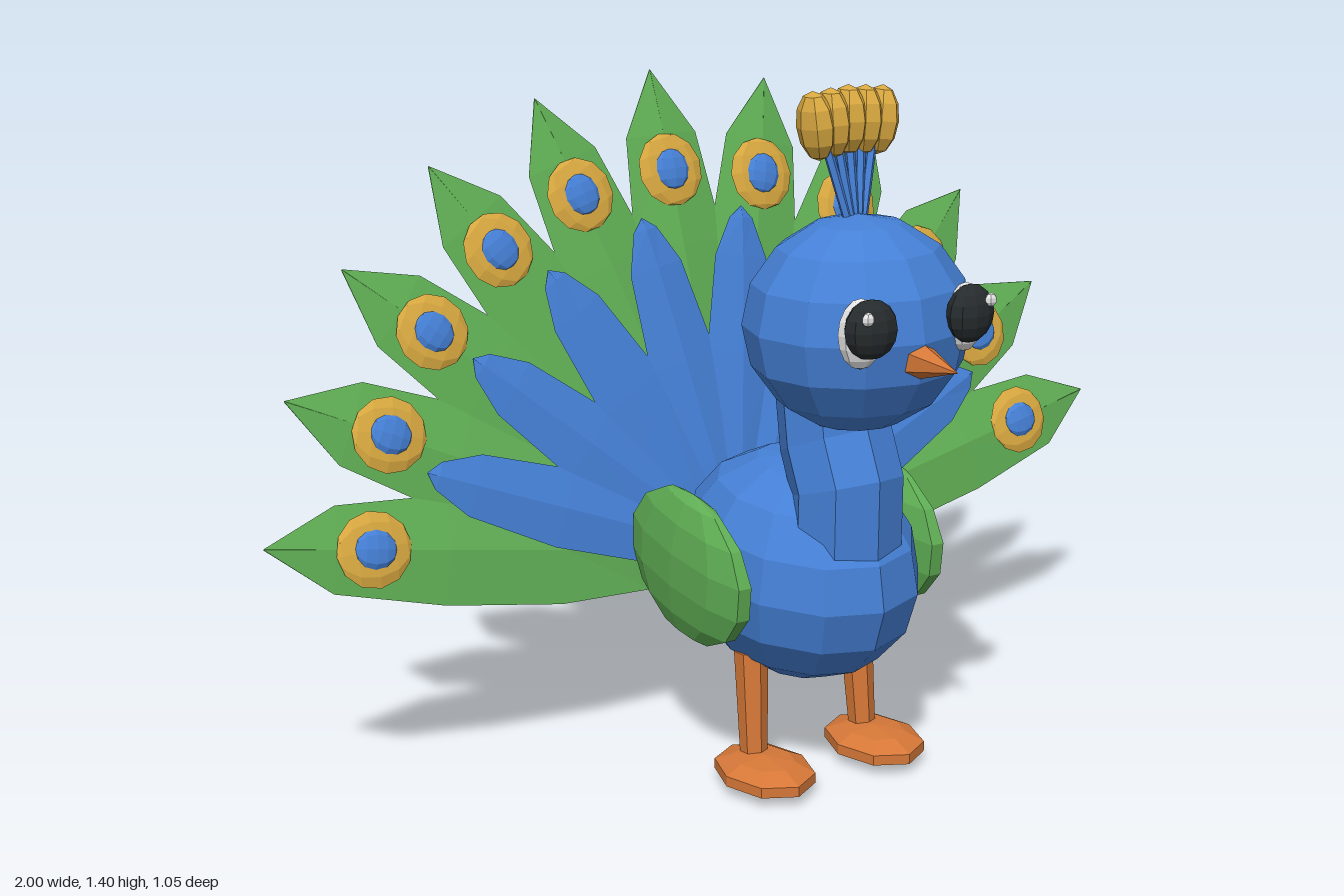
import * as THREE from 'three';

const mat = (name, color) => {
  const m = new THREE.MeshStandardMaterial({ color });
  m.name = name;
  return m;
};

export function createModel() {
  const model = new THREE.Group();
  model.name = 'bird';
  const blue = mat('blue', 0x4580d6);
  const green = mat('green', 0x5fad54);
  const gold = mat('gold', 0xd8a840);
  const orange = mat('orange', 0xd67838);
  const black = mat('black', 0x262b2d);
  const white = mat('white', 0xececec);

  // Flat faceted mesh
  function add(parent, name, geometry, material, pos = [0, 0, 0], rot = [0, 0, 0]) {
    const g = geometry.index ? geometry.toNonIndexed() : geometry;
    g.computeVertexNormals();
    const mesh = new THREE.Mesh(g, material);
    mesh.name = name;
    mesh.position.set(...pos);
    mesh.rotation.set(...rot);
    parent.add(mesh);
    return mesh;
  }
  const ellipsoid = (rx, ry, rz, w = 12, h = 8) => new THREE.SphereGeometry(1, w, h).scale(rx, ry, rz);

  // Tapered rod between two points
  function rod(parent, name, a, b, ra, rb, sides, material) {
    const from = new THREE.Vector3(...a), to = new THREE.Vector3(...b);
    const dir = to.clone().sub(from);
    const mesh = add(parent, name, new THREE.CylinderGeometry(rb, ra, dir.length(), sides), material);
    mesh.position.copy(from).add(to).multiplyScalar(0.5);
    mesh.quaternion.setFromUnitVectors(new THREE.Vector3(0, 1, 0), dir.normalize());
  }

  // Feather lofted along y from [length, half width, half thickness] stations
  function featherGeometry(stations) {
    const pos = [], idx = [];
    stations.forEach(([l, w, t]) => pos.push(w, l, 0, 0, l, -t, -w, l, 0, 0, l, t));
    for (let s = 0; s < stations.length - 1; s++) {
      for (let i = 0; i < 4; i++) {
        const a = s * 4 + i, b = s * 4 + (i + 1) % 4;
        idx.push(a, b, b + 4, a, b + 4, a + 4);
      }
    }
    const g = new THREE.BufferGeometry();
    g.setAttribute('position', new THREE.Float32BufferAttribute(pos, 3));
    g.setIndex(idx);
    return g;
  }

  // Body, neck and head
  add(model, 'body', ellipsoid(0.22, 0.23, 0.29), blue, [0, 0.43, 0.03], [0.08, 0, 0]);
  const neckPath = new THREE.CatmullRomCurve3([
    new THREE.Vector3(0, 0.45, 0.16), new THREE.Vector3(0, 0.6, 0.2),
    new THREE.Vector3(0, 0.75, 0.145), new THREE.Vector3(0, 0.9, 0.15),
  ]);
  add(model, 'neck', new THREE.TubeGeometry(neckPath, 5, 0.112, 8), blue);
  add(model, 'head', ellipsoid(0.222, 0.205, 0.208), blue, [0, 0.96, 0.225]);
  add(model, 'beak', new THREE.ConeGeometry(0.047, 0.15, 6), orange, [0, 0.927, 0.455], [Math.PI / 2, 0, 0]);

  // Paired parts
  for (const s of [1, -1]) {
    const side = s > 0 ? 'left' : 'right';
    add(model, side + 'EyeWhite', ellipsoid(0.043, 0.065, 0.03, 10, 8), white, [s * 0.118, 0.988, 0.397], [0, s * 0.3, 0]);
    add(model, side + 'Pupil', ellipsoid(0.053, 0.055, 0.035, 10, 8), black, [s * 0.112, 1.0, 0.42], [0, s * 0.15, 0]);
    add(model, side + 'EyeGlint', ellipsoid(0.013, 0.013, 0.01, 6, 5), white, [s * 0.138, 1.027, 0.447]);

    add(model, side + 'Wing', ellipsoid(0.047, 0.152, 0.212, 10, 7), green, [s * 0.23, 0.452, -0.012], [0.12, 0, 0]);
    rod(model, side + 'Leg', [s * 0.134, 0.04, 0.068], [s * 0.128, 0.27, 0.05], 0.027, 0.034, 6, orange);
    add(model, side + 'Foot', ellipsoid(0.095, 0.034, 0.127, 8, 5), orange, [s * 0.135, 0.034, 0.108]);
  }

  // Crest plumes
  for (let i = -2; i <= 2; i++) {
    rod(model, 'crestStalk', [i * 0.007, 1.14, 0.217], [i * 0.027, 1.3, 0.193], 0.009, 0.01, 5, blue);
    add(model, 'crestTip', ellipsoid(0.034, 0.065, 0.044, 7, 6), gold,
      [i * 0.036, 1.335 - Math.abs(i) * 0.003, 0.19], [0, 0, -i * 0.06]);
  }

  // Fan of evenly spread feathers
  function fan(name, pos, tilt, count, spread, build) {
    const group = new THREE.Group();
    group.name = name;
    group.position.set(...pos);
    group.rotation.x = -tilt;
    for (let i = 0; i < count; i++) {
      const holder = new THREE.Group();
      holder.name = name + 'Feather';
      holder.rotation.z = THREE.MathUtils.degToRad(spread * (i / (count - 1) * 2 - 1));
      build(holder);
      group.add(holder);
    }
    model.add(group);
  }

  // Long green feathers with eye spots
  const longFeather = featherGeometry([[0, 0.035, 0.01], [0.2, 0.08, 0.015], [0.4, 0.108, 0.016],
    [0.65, 0.108, 0.016], [0.88, 0.084, 0.012], [1.018, 0.001, 0.001]]);
  fan('tail', [0, 0.38, -0.21], 0.311, 11, 79.2, (f) => {
    add(f, 'longFeather', longFeather, green);
    add(f, 'spotRing', ellipsoid(0.075, 0.077, 0.012, 8, 6).rotateZ(0.2), gold, [0, 0.805, 0.014]);
    add(f, 'spotCentre', ellipsoid(0.04, 0.043, 0.012, 8, 6), blue, [0, 0.805, 0.022]);
  });

  // Short blue feathers in front
  const shortFeather = featherGeometry([[0, 0.03, 0.008], [0.2, 0.065, 0.012], [0.42, 0.08, 0.013],
    [0.62, 0.062, 0.01], [0.7, 0.028, 0.006], [0.725, 0.001, 0.001]]);
  fan('innerTail', [0, 0.38, -0.19], 0.24, 8, 67, (f) => add(f, 'shortFeather', shortFeather, blue));

  return model;
}
